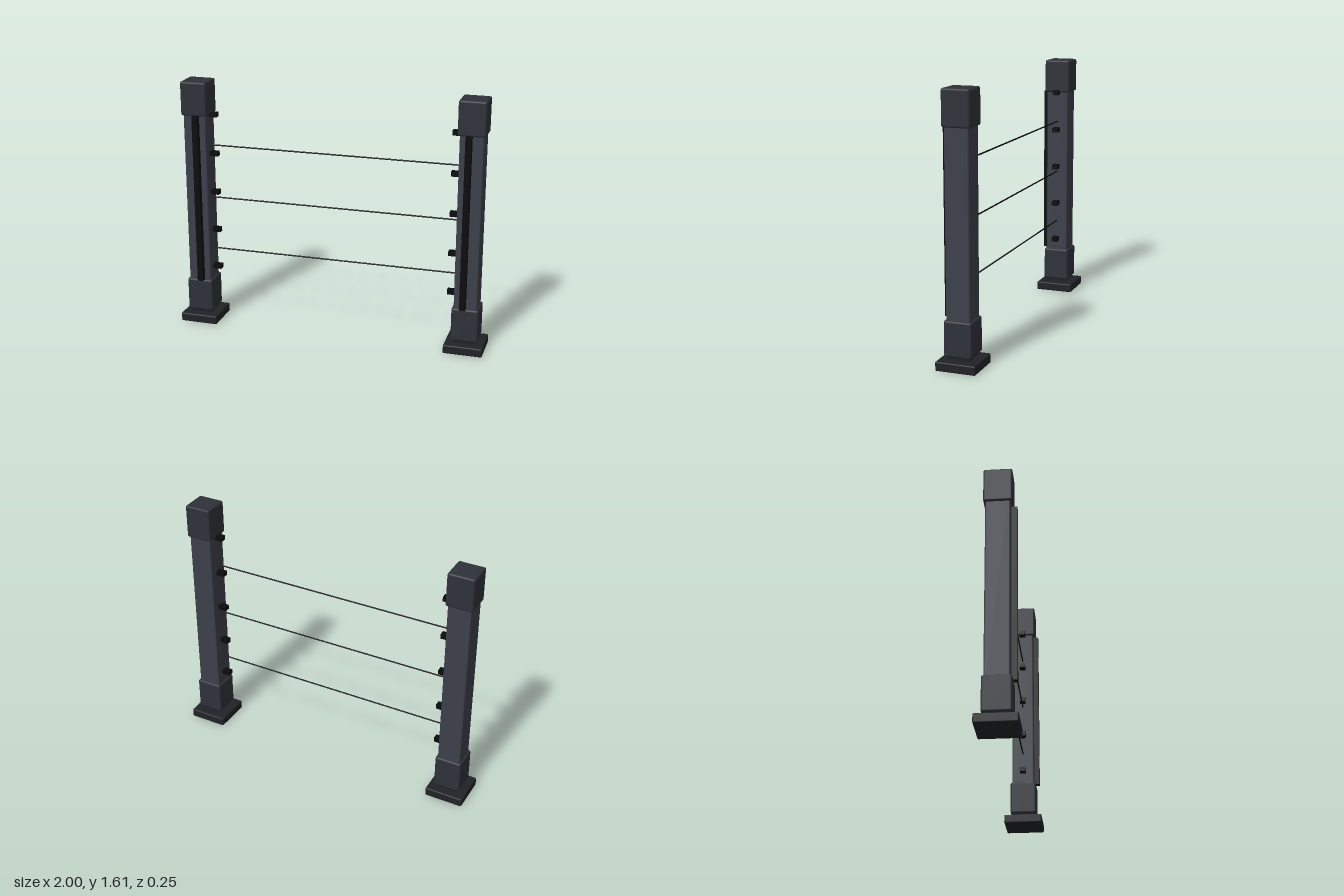
import * as THREE from 'three';
import { RoundedBoxGeometry } from 'three/addons/geometries/RoundedBoxGeometry.js';

const mat = (color) => new THREE.MeshStandardMaterial({ color });

export function createModel() {
  const model = new THREE.Group();
  const shaftMat = mat(0x3c404a);
  const blockMat = mat(0x2e3139);
  const baseMat = mat(0x212226);
  const blackMat = mat(0x0a0b0c);
  const neckMat = blockMat.clone();
  neckMat.flatShading = true;

  const add = (parent, name, geometry, material, x, y, z) => {
    const mesh = new THREE.Mesh(geometry, material);
    mesh.name = name;
    mesh.position.set(x, y, z);
    parent.add(mesh);
    return mesh;
  };
  // Box with softened edges, spanning y0..y1
  const block = (parent, name, material, width, y0, y1, radius) =>
    add(parent, name, new RoundedBoxGeometry(width, y1 - y0, width, 2, radius), material, 0, (y0 + y1) / 2, 0);

  // Two mirrored posts
  for (const side of [-1, 1]) {
    const post = new THREE.Group();
    post.name = side > 0 ? 'leftPost' : 'rightPost';
    post.position.x = side * 0.877;
    model.add(post);

    block(post, 'footPlate', baseMat, 0.246, 0, 0.056, 0.008);
    block(post, 'lowerBlock', blockMat, 0.17, 0.078, 0.292, 0.012);
    block(post, 'shaft', shaftMat, 0.147, 0.2, 1.45, 0.01);
    block(post, 'topCap', blockMat, 0.17, 1.39, 1.606, 0.012);

    // Tapered neck between foot plate and lower block
    const neck = new THREE.CylinderGeometry(0.08 * Math.SQRT2, 0.06 * Math.SQRT2, 0.036, 4);
    neck.rotateY(Math.PI / 4);
    add(post, 'neck', neck, neckMat, 0, 0.068, 0);

    // Front strip, slightly towards the inside
    add(post, 'frontStrip', new THREE.BoxGeometry(0.038, 1.1, 0.04), blackMat, -side * 0.014, 0.842, 0.087);

    // Row of pegs on the inner face
    for (let i = 0; i < 5; i++) {
      add(post, 'peg', new THREE.BoxGeometry(0.06, 0.03, 0.038), blackMat, -side * 0.097, 0.37 + i * 0.255, 0);
    }
  }

  // Horizontal wires between the posts
  for (const y of [0.495, 0.843, 1.19]) {
    const wire = new THREE.CylinderGeometry(0.0045, 0.0045, 1.62, 10);
    wire.rotateZ(Math.PI / 2);
    add(model, 'wire', wire, blackMat, 0, y, 0);
  }
  return model;
}
